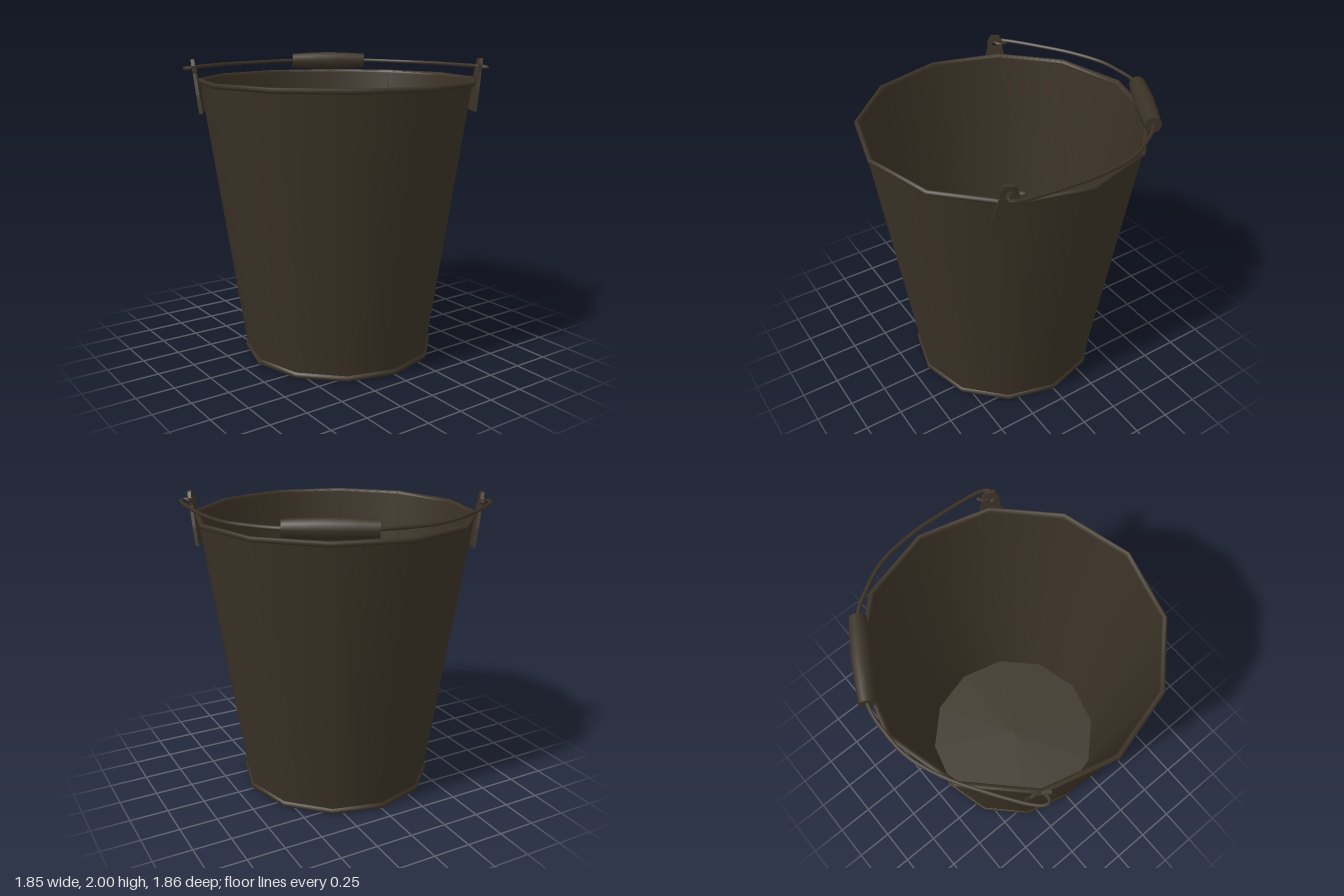
import * as THREE from 'three';

const SIDES = 12;
const metal = new THREE.MeshStandardMaterial({ color: 0x3b3226 });
metal.name = 'dark metal';

function add(parent, name, geometry) {
  const mesh = new THREE.Mesh(geometry, metal);
  mesh.name = name;
  parent.add(mesh);
  return mesh;
}

const lathe = (points, sides = SIDES) =>
  new THREE.LatheGeometry(points.map(([r, y]) => new THREE.Vector2(r, y)), sides);

// Flared lug with an eyelet, leaning outwards with the bucket wall
function earGeometry(side) {
  const shape = new THREE.Shape();
  const half = [[0.108, 1.65], [0.1, 1.7], [0.088, 1.77], [0.066, 1.85], [0.053, 1.9], [0.05, 1.95], [0.028, 1.99]];
  half.forEach(([w, y], i) => (i ? shape.lineTo(w, y) : shape.moveTo(w, y)));
  half.slice().reverse().forEach(([w, y]) => shape.lineTo(-w, y));
  const hole = new THREE.Path();
  hole.absarc(0, 1.935, 0.023, 0, Math.PI * 2, true);
  shape.holes.push(hole);
  const geo = new THREE.ExtrudeGeometry(shape, { depth: 0.022, bevelEnabled: false, curveSegments: 4 });
  geo.rotateY(side * Math.PI / 2);
  const p = geo.attributes.position;
  for (let i = 0; i < p.count; i++) {
    p.setX(i, p.getX(i) + side * (0.882 + 0.145 * (p.getY(i) - 1.65)));
  }
  geo.translate(0, 0, 0.016);
  geo.computeVertexNormals();
  return geo;
}

export function createModel() {
  const model = new THREE.Group();
  model.name = 'bucket';

  // Bucket body
  add(model, 'outerWall', lathe([[0.638, 0.03], [0.903, 1.845]]));
  add(model, 'innerWall', lathe([[0.89, 1.86], [0.63, 0.03]]));
  add(model, 'floor', lathe([[0.632, 0.03], [0, 0.03]]));
  add(model, 'underside', lathe([[0, 0.004], [0.642, 0.004]]));
  add(model, 'bottomBead', lathe([[0.635, 0], [0.647, 0.006], [0.652, 0.02], [0.647, 0.035], [0.637, 0.042]]));
  add(model, 'rim', lathe([[0.9, 1.835], [0.915, 1.84], [0.922, 1.853], [0.915, 1.866], [0.902, 1.869], [0.889, 1.858], [0.888, 1.845]]));

  // Handle assembly, turned so its lugs sit on wall corners
  const handle = new THREE.Group();
  handle.name = 'handle';
  handle.rotation.y = -Math.PI / 6;
  model.add(handle);

  for (const side of [-1, 1]) add(handle, side > 0 ? 'leftEar' : 'rightEar', earGeometry(side));

  // Wire bail lying on the rim, hooked through both eyelets
  const halfWire = [
    [0.27, 1.935, -0.872], [0.47, 1.932, -0.785], [0.615, 1.93, -0.685], [0.77, 1.93, -0.49],
    [0.865, 1.93, -0.32], [0.935, 1.93, -0.18], [0.985, 1.93, -0.065], [0.998, 1.93, -0.005],
    [0.985, 1.93, 0.028], [0.945, 1.935, 0.015], [0.922, 1.935, -0.01], [0.94, 1.935, -0.06],
  ];
  const path = [
    ...halfWire.slice().reverse().map(([x, y, z]) => new THREE.Vector3(-x, y, z)),
    ...halfWire.map(([x, y, z]) => new THREE.Vector3(x, y, z)),
  ];
  const curve = new THREE.CatmullRomCurve3(path, false, 'centripetal');
  add(handle, 'wire', new THREE.TubeGeometry(curve, 110, 0.0125, 6, false));
  for (const end of [path[0], path[path.length - 1]]) {
    add(handle, 'wireTip', new THREE.SphereGeometry(0.0125, 6, 4)).position.copy(end);
  }

  // Barrel-shaped grip with flat ends
  const grip = new THREE.Group();
  grip.name = 'grip';
  grip.rotation.z = Math.PI / 2;
  grip.position.set(0, 1.935, -0.872);
  handle.add(grip);
  add(grip, 'gripBarrel', lathe([[0.052, -0.27], [0.06, -0.14], [0.065, 0], [0.06, 0.14], [0.052, 0.27]], 10));
  add(grip, 'gripEnd', lathe([[0, -0.27], [0.052, -0.27]], 10));
  add(grip, 'gripEnd', lathe([[0.052, 0.27], [0, 0.27]], 10));

  return model;
}
